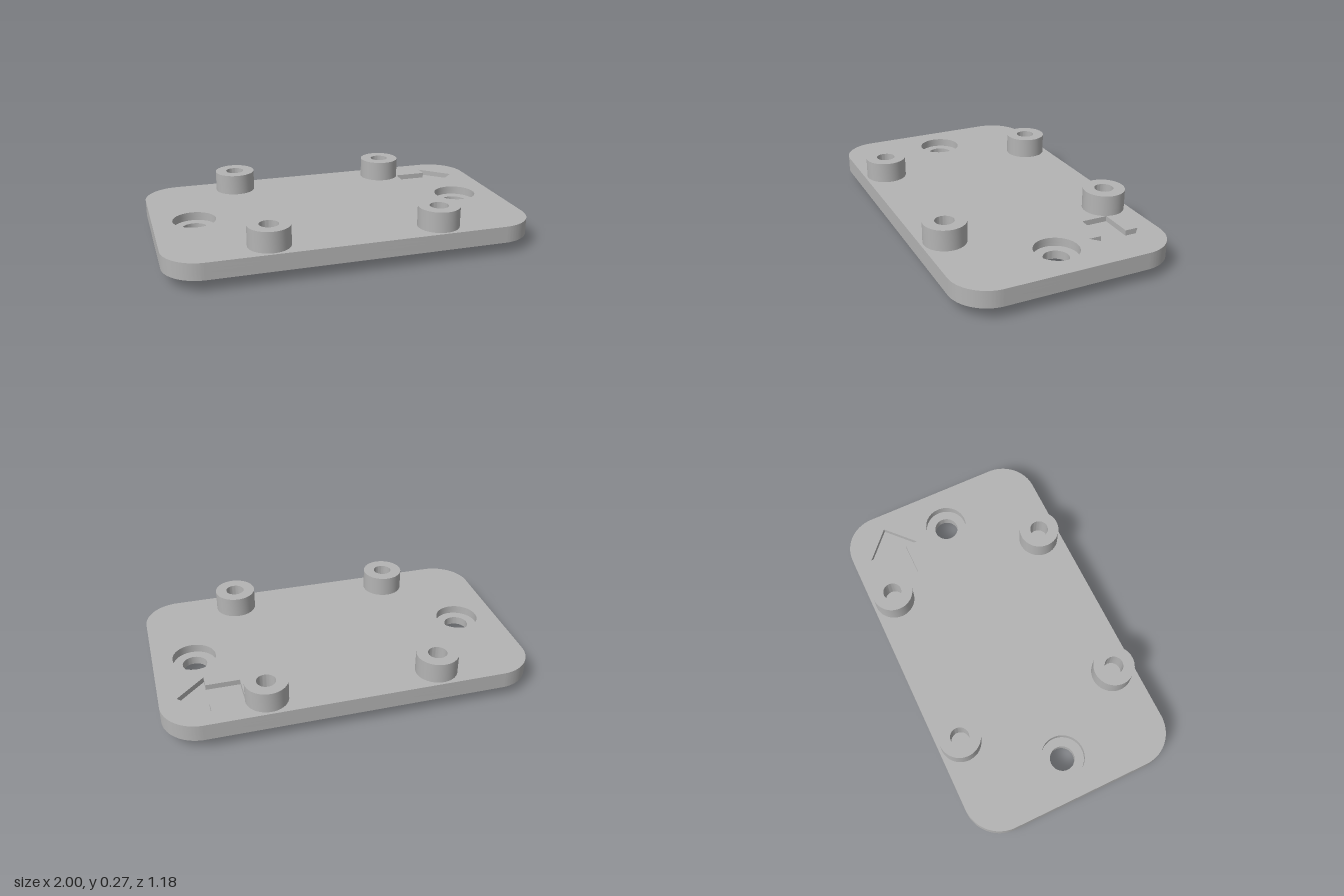
import * as THREE from 'three';
import { toCreasedNormals } from 'three/addons/utils/BufferGeometryUtils.js';

const HALF_X = 1, HALF_Z = 0.59, CORNER = 0.2;
const PLATE_BOTTOM = 0.065, PLATE_TOP = 0.157;
const BORE_FLOOR = 0.111, ARROW_FLOOR = 0.127;
const SCREW_X = 0.773, BORE_R = 0.118, HOLE_R = 0.067;

// Rounded rectangle outline; shape y becomes -z once laid flat
function plateOutline() {
  const a = HALF_X - CORNER, b = HALF_Z - CORNER;
  const s = new THREE.Shape();
  s.absarc(a, b, CORNER, 0, Math.PI / 2);
  s.absarc(-a, b, CORNER, Math.PI / 2, Math.PI);
  s.absarc(-a, -b, CORNER, Math.PI, Math.PI * 1.5);
  s.absarc(a, -b, CORNER, Math.PI * 1.5, Math.PI * 2);
  s.closePath();
  return s;
}

function circlePath(x, r) {
  return new THREE.Path().absarc(x, 0, r, 0, Math.PI * 2, true);
}

function arrowPath() {
  const points = [
    [0.567, 0.27], [0.567, 0.418], [0.75, 0.418], [0.75, 0.49],
    [0.907, 0.345], [0.75, 0.2], [0.75, 0.27],
  ];
  return new THREE.Path(points.map(([x, y]) => new THREE.Vector2(x, y)));
}

// One horizontal slice of the plate with its own cutouts
function plateLayer(y0, y1, screwRadius, withArrow) {
  const s = plateOutline();
  for (const side of [-1, 1]) s.holes.push(circlePath(side * SCREW_X, screwRadius));
  if (withArrow) s.holes.push(arrowPath());
  const g = new THREE.ExtrudeGeometry(s, { depth: y1 - y0, bevelEnabled: false, curveSegments: 24 });
  g.rotateX(-Math.PI / 2);
  g.translate(0, y0, 0);
  return toCreasedNormals(g, 0.6);
}

// Hollow standoff; the plate closes the bottom of the bore
function standoffGeometry() {
  const profile = [[0.113, PLATE_TOP - 0.01], [0.113, 0.27], [0.051, 0.27], [0.051, PLATE_TOP - 0.01]];
  const g = new THREE.LatheGeometry(profile.map(([r, y]) => new THREE.Vector2(r, y)), 48);
  return toCreasedNormals(g, 0.6);
}

// Bar whose lower edge is chamfered inward
function ribGeometry(length, width, chamferTop) {
  const g = new THREE.BoxGeometry(length, 2, width, 1, 2, 1);
  const p = g.attributes.position;
  for (let i = 0; i < p.count; i++) {
    const level = p.getY(i);
    if (level < -0.5) {
      p.setX(i, p.getX(i) - Math.sign(p.getX(i)) * 0.01);
      p.setZ(i, p.getZ(i) - Math.sign(p.getZ(i)) * chamferTop);
    }
    p.setY(i, level < -0.5 ? 0 : level < 0.5 ? chamferTop : PLATE_BOTTOM + 0.005);
  }
  return toCreasedNormals(g, 0.3);
}

export function createModel() {
  const group = new THREE.Group();
  group.name = 'mountingPlate';
  const grey = new THREE.MeshStandardMaterial({ color: 0xb4b4b4 });
  grey.name = 'plainGrey';

  const add = (name, geometry, x = 0, z = 0) => {
    const mesh = new THREE.Mesh(geometry, grey);
    mesh.name = name;
    mesh.position.set(x, 0, z);
    group.add(mesh);
  };

  // Plate: through holes, counterbores, then the engraved arrow
  add('plateBase', plateLayer(PLATE_BOTTOM, BORE_FLOOR, HOLE_R, false));
  add('plateMiddle', plateLayer(BORE_FLOOR, ARROW_FLOOR, BORE_R, false));
  add('plateTop', plateLayer(ARROW_FLOOR, PLATE_TOP, BORE_R, true));

  // Four standoffs
  const standoff = standoffGeometry();
  for (const x of [-0.461, 0.461])
    for (const z of [-0.462, 0.462]) add('standoff', standoff, x, z);

  // Locating ribs underneath
  add('centreRib', ribGeometry(1.084, 0.074, 0.016));
  const sideRib = ribGeometry(0.724, 0.084, 0.02);
  for (const z of [-0.415, 0.415]) add('sideRib', sideRib, 0, z);

  return group;
}
